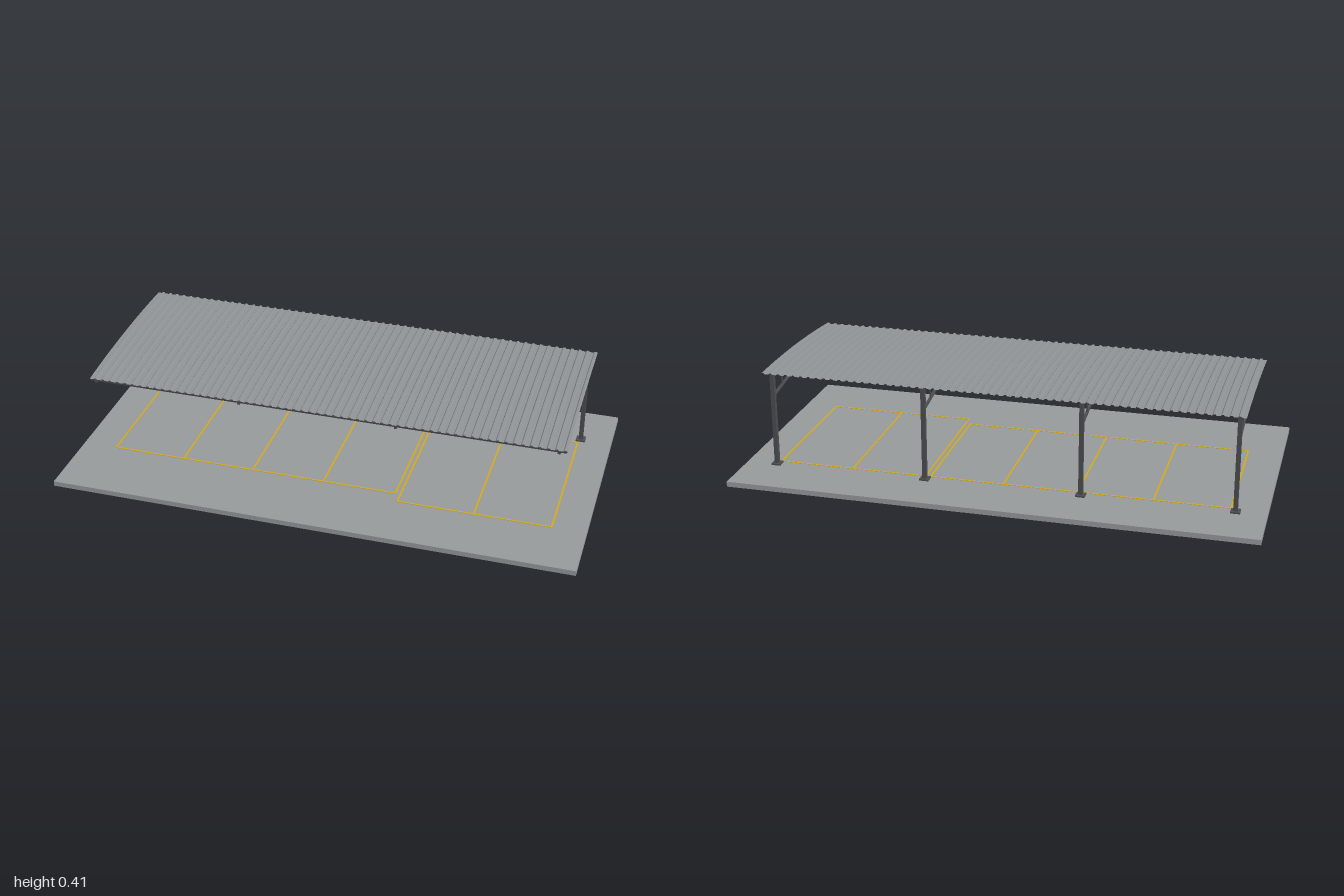
import * as THREE from 'three';

const steel = new THREE.MeshStandardMaterial({ color: 0x4a4d50 });
const concrete = new THREE.MeshStandardMaterial({ color: 0x96999b });
const sheet = new THREE.MeshStandardMaterial({ color: 0x8e9294, flatShading: true, side: THREE.DoubleSide });
const paint = new THREE.MeshStandardMaterial({ color: 0xd0a820 });

const GROUND = 0.02, COLUMN_Z = -0.326;

// Height of the curved roof sheet (valleys) at depth z
const roofY = z => 0.401 - 0.027 * ((z + 0.2) / 0.53) ** 2;
const topChordY = z => roofY(z) - 0.0095;

// Lower chord rises in a curve from the column to the front tip
const lower = new THREE.SplineCurve([
  [0.33, 0.367], [0.2, 0.367], [0.1, 0.361], [0, 0.35], [-0.1, 0.337], [-0.2, 0.32], [-0.326, 0.3],
].map(p => new THREE.Vector2(...p)));

function lowerChordY(z) {
  let a = 0, b = 1;
  for (let i = 0; i < 24; i++) {
    const m = (a + b) / 2;
    if (lower.getPoint(m).x > z) a = m; else b = m;
  }
  return lower.getPoint(a).y;
}

function box(name, w, h, d, x, y, z, material = steel) {
  const mesh = new THREE.Mesh(new THREE.BoxGeometry(w, h, d), material);
  mesh.name = name;
  mesh.position.set(x, y, z);
  return mesh;
}

// Bar of even depth following a height rule from front to back
function chord(name, heightAt, depth, width) {
  const upper = [], under = [];
  for (let i = 0; i <= 20; i++) {
    const z = 0.33 - (0.33 - COLUMN_Z) * i / 20, y = heightAt(z);
    upper.push(new THREE.Vector2(z, y + depth / 2));
    under.unshift(new THREE.Vector2(z, y - depth / 2));
  }
  const geometry = new THREE.ExtrudeGeometry(new THREE.Shape([...upper, ...under]),
    { depth: width, bevelEnabled: false, steps: 1 });
  geometry.translate(0, 0, -width / 2).rotateY(-Math.PI / 2);
  const mesh = new THREE.Mesh(geometry, steel);
  mesh.name = name;
  return mesh;
}

// Column with base plate and cantilever truss
function frame(x) {
  const g = new THREE.Group();
  g.name = 'cantileverFrame';
  g.position.x = x;
  const top = topChordY(COLUMN_Z) + 0.003;
  g.add(box('column', 0.016, top - GROUND, 0.017, 0, (top + GROUND) / 2, COLUMN_Z));
  g.add(box('basePlate', 0.036, 0.006, 0.036, 0, GROUND + 0.003, COLUMN_Z));
  g.add(chord('topChord', topChordY, 0.008, 0.01));
  g.add(chord('lowerChord', lowerChordY, 0.007, 0.01));
  for (const z of [0.14, 0.05, -0.045, -0.14, -0.235]) {
    const a = lowerChordY(z), b = topChordY(z);
    g.add(box('strut', 0.005, b - a, 0.005, 0, (a + b) / 2, z));
  }
  return g;
}

// Corrugated sheet with trapezoid ribs, bent along the roof curve
function roof() {
  const ribs = 60, width = 1.82, front = 0.33, back = -0.362, rows = 16;
  const geometry = new THREE.PlaneGeometry(width, front - back, ribs * 4, rows);
  geometry.rotateX(-Math.PI / 2);
  const p = geometry.attributes.position, pitch = width / ribs;
  const across = [0, 0.5, 0.62, 0.88], rise = [0, 0, 0.0045, 0.0045];
  for (let i = 0; i < p.count; i++) {
    const column = i % (ribs * 4 + 1), step = column % 4;
    const z = p.getZ(i) + (front + back) / 2;
    const x = -width / 2 + (Math.floor(column / 4) + across[step]) * pitch;
    p.setXYZ(i, x, roofY(z) + rise[step], z);
  }
  geometry.computeVertexNormals();
  const mesh = new THREE.Mesh(geometry, sheet);
  mesh.name = 'corrugatedRoof';
  return mesh;
}

// Painted outlines of a row of parking bays
function bays(x0, x1, count, front) {
  const g = new THREE.Group(), back = -0.3, w = 0.007, h = 0.0014;
  g.name = 'parkingBays';
  const y = GROUND + h / 2;
  for (let i = 0; i <= count; i++) {
    const x = x0 + (x1 - x0) * i / count;
    g.add(box('bayDivider', w, h, front - back, x, y, (front + back) / 2, paint));
  }
  for (const z of [front, back])
    g.add(box('bayEndLine', x1 - x0 + w, h, w, (x0 + x1) / 2, y, z, paint));
  return g;
}

export function createModel() {
  const model = new THREE.Group();
  model.name = 'carport';
  model.add(box('slab', 2, GROUND, 1.066, 0, GROUND / 2, 0, concrete));
  for (const x of [-0.885, -0.315, 0.285, 0.88]) model.add(frame(x));

  // Purlins run the full length under the sheet
  for (let i = 0; i < 8; i++) {
    const z = 0.325 - i * 0.092;
    const purlin = box('purlin', 1.815, 0.007, 0.007, 0, roofY(z) - 0.004, z);
    purlin.rotation.x = Math.atan(0.054 * (z + 0.2) / 0.53 ** 2);
    model.add(purlin);
  }
  model.add(roof());

  // Four shorter bays, then two longer ones
  model.add(bays(-0.866, 0.27, 4, 0.245));
  model.add(bays(0.29, 0.872, 2, 0.295));
  return model;
}
